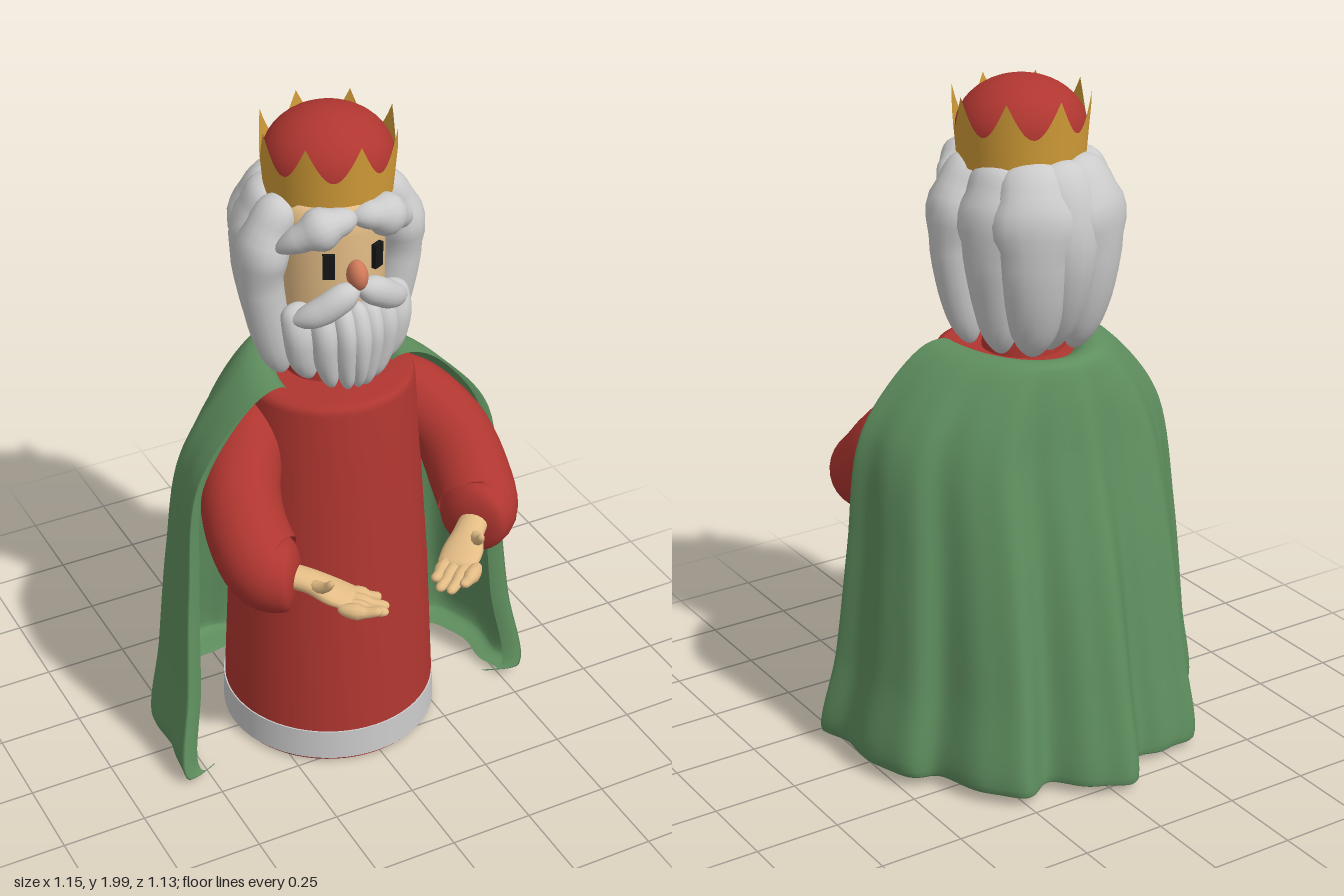
import * as THREE from 'three';

const V = (x, y, z) => new THREE.Vector3(x, y, z);
const mat = (color) => new THREE.MeshStandardMaterial({ color });
const red = mat(0xb03630), green = mat(0x5f8f5f), skin = mat(0xe3bc85), grey = mat(0xcccccc);
const gold = mat(0xd39d38), black = mat(0x151515), noseRed = mat(0xd0795a);
green.side = gold.side = THREE.DoubleSide;

// Grid of rings -> smooth geometry
function surface(rings, wrap) {
  const n = rings[0].length, pos = [], idx = [];
  rings.forEach((r) => r.forEach((p) => pos.push(p.x, p.y, p.z)));
  for (let i = 0; i < rings.length - 1; i++) {
    for (let j = 0; j < (wrap ? n : n - 1); j++) {
      const a = i * n + j, b = i * n + ((j + 1) % n);
      idx.push(a, b, b + n, a, b + n, a + n);
    }
  }
  const g = new THREE.BufferGeometry();
  g.setAttribute('position', new THREE.Float32BufferAttribute(pos, 3));
  g.setIndex(idx);
  g.computeVertexNormals();
  return g;
}

// Round-ended elliptical sweep; rows are [x, y, z, halfA, halfB], halfA lies along side
function loft(rows, side, cap = 0.15, n = 24, m = 16) {
  const path = new THREE.CatmullRomCurve3(rows.map((r) => V(r[0], r[1], r[2])));
  const size = new THREE.CatmullRomCurve3(rows.map((r) => V(r[3], r[4], 0)));
  const rings = [];
  for (let i = 0; i <= n; i++) {
    const t = (1 - Math.cos((Math.PI * i) / n)) / 2;
    const k = Math.min(1, Math.min(t, 1 - t) / cap);
    const f = Math.max(0.02, Math.sqrt(1 - (1 - k) ** 2));
    const c = path.getPoint(t), d = size.getPoint(t), tan = path.getTangent(t);
    const s = side.clone().addScaledVector(tan, -side.dot(tan)).normalize();
    const b = tan.clone().cross(s);
    const ring = [];
    for (let j = 0; j < m; j++) {
      const q = (2 * Math.PI * j) / m;
      ring.push(c.clone().addScaledVector(s, d.x * f * Math.cos(q)).addScaledVector(b, d.y * f * Math.sin(q)));
    }
    rings.push(ring);
  }
  return surface(rings, true);
}

const lathe = (pts) => new THREE.LatheGeometry(pts.map((p) => new THREE.Vector2(p[0], p[1])), 64);

export function createModel() {
  const model = new THREE.Group();
  const figure = new THREE.Group();
  figure.name = 'figure';
  figure.position.x = -0.015;
  model.add(figure);
  const add = (name, geo, material, x = 0, y = 0, z = 0) => {
    const mesh = new THREE.Mesh(geo, material);
    mesh.name = name;
    mesh.position.set(x, y, z);
    figure.add(mesh);
    return mesh;
  };

  // Robe, hem and collar
  add('robe', lathe([[0, 0.01], [0.312, 0.01], [0.312, 0.01], [0.318, 0.03], [0.318, 0.03], [0.316, 0.13],
    [0.295, 0.55], [0.262, 1.0], [0.248, 1.19], [0.24, 1.21], [0.22, 1.218], [0, 1.218]]), red, 0, 0, -0.015);
  add('hem', lathe([[0.3, 0.02], [0.322, 0.022], [0.322, 0.022], [0.32, 0.12], [0.32, 0.12], [0.3, 0.121]]), grey, 0, 0, -0.015);
  add('collar', new THREE.CylinderGeometry(0.105, 0.12, 0.18, 40), red, 0, 1.3, -0.03);

  // Head
  add('head', lathe([[0, 1.36], [0.1, 1.36], [0.14, 1.39], [0.155, 1.45], [0.157, 1.7], [0.15, 1.79], [0, 1.8]]), skin, 0, 0, -0.01);
  const nose = add('nose', new THREE.SphereGeometry(1, 24, 16), noseRed, 0, 1.59, 0.16);
  nose.scale.set(0.028, 0.043, 0.038);
  nose.rotation.x = -0.25;

  for (const m of [-1, 1]) {
    const S = m < 0 ? 'right' : 'left';
    const flip = (rows) => rows.map(([x, ...r]) => [x * m, ...r]);

    const eye = add(S + 'Eye', new THREE.BoxGeometry(0.034, 0.072, 0.014), black, m * 0.074, 1.622, 0.136);
    eye.rotation.y = m * 0.45;

    add(S + 'Eyebrow', loft(flip([[-0.01, 1.757, 0.135, 0.034, 0.038], [0.06, 1.752, 0.14, 0.042, 0.045],
      [0.13, 1.725, 0.12, 0.042, 0.045], [0.2, 1.672, 0.07, 0.03, 0.034]]), V(0, 1, 0), 0.3), grey);
    add(S + 'Moustache', loft(flip([[-0.005, 1.557, 0.16, 0.026, 0.03], [0.055, 1.53, 0.165, 0.042, 0.038],
      [0.11, 1.492, 0.145, 0.04, 0.038], [0.18, 1.455, 0.095, 0.02, 0.024]]), V(0, 1, 0), 0.25), grey);

    // Beard locks, longest in the middle
    for (const [x, w, bottom, tuck] of [[0.04, 0.034, 1.235, 0.68], [0.09, 0.04, 1.24, 0.72], [0.142, 0.05, 1.265, 0.8]]) {
      const z = 0.17 - 3.2 * x * x;
      add(S + 'BeardLock', loft(flip([[x, 1.5, z - 0.03, w, 0.035], [x * 1.02, 1.42, z, w, 0.045],
        [x * 0.96, 1.34, z, w * 0.9, 0.04], [x * tuck, bottom, z - 0.005, 0.018, 0.022]]), V(1, 0, 0)), grey);
    }

    // Hair locks: angle from the front, half width, change of reach, shift in z
    for (const [deg, w, out, dz] of [[90, 0.066, 0, 0.005], [116, 0.088, -0.022, -0.05], [153, 0.1, 0.006, -0.045]]) {
      const a = (deg * Math.PI) / 180, sx = Math.sin(a), cz = Math.cos(a);
      const rows = [[0.13, 1.79, 0.9, 0.055], [0.192 + out, 1.7, 1, 0.062], [0.215 + out, 1.57, 1, 0.062],
        [0.192 + out, 1.41, 0.85, 0.06], [0.15 - Math.abs(out) / 2, 1.24, 0.5, 0.042]];
      add(S + 'HairLock', loft(flip(rows.map(([r, y, k, d]) => [r * sx, y, r * cz + dz, w * k, d])),
        V(cz * m, 0, -sx), 0.14), grey);
    }

    // Sleeve
    add(S + 'Sleeve', loft(flip([[0.17, 1.12, -0.04, 0.08, 0.08], [0.265, 1.05, 0.02, 0.108, 0.106],
      [0.338, 0.95, 0.11, 0.115, 0.113], [0.352, 0.85, 0.2, 0.122, 0.117], [0.333, 0.795, 0.285, 0.118, 0.115],
      [0.268, 0.79, 0.335, 0.1, 0.095]]), V(0, 1, 0.3), 0.08, 36, 28), red);

    // Hand: upturned palm, four fingers and thumb
    add(S + 'Palm', loft(flip([[0.3, 0.8, 0.33, 0.042, 0.032], [0.25, 0.788, 0.375, 0.045, 0.03],
      [0.205, 0.768, 0.42, 0.06, 0.025], [0.155, 0.752, 0.465, 0.056, 0.018]]), V(0.7 * m, 0.1, 0.7), 0.1), skin);
    const tips = [[0.083, 0.745, 0.475], [0.077, 0.735, 0.51], [0.095, 0.74, 0.54], [0.127, 0.77, 0.56]];
    tips.forEach(([x, y, z], i) => {
      const rx = 0.142 + i * 0.019, rz = 0.435 + i * 0.022;
      add(S + 'Finger', loft(flip([[rx + 0.025, 0.757, rz - 0.02, 0.016, 0.017],
        [(rx + x) / 2, (0.757 + y) / 2 - 0.007, (rz + z) / 2, 0.016, 0.017], [x, y, z, 0.012, 0.014]]), V(0, 1, 0), 0.15, 12, 10), skin);
    });
    add(S + 'Thumb', loft(flip([[0.26, 0.79, 0.385, 0.02, 0.02], [0.248, 0.8, 0.425, 0.018, 0.018],
      [0.24, 0.818, 0.452, 0.014, 0.013], [0.235, 0.845, 0.472, 0.01, 0.01]]), V(1, 0, 0), 0.15, 14, 10), skin);
  }

  add('middleBeardLock', loft([[0, 1.5, 0.14, 0.03, 0.035], [0, 1.42, 0.175, 0.034, 0.04],
    [0, 1.33, 0.175, 0.028, 0.038], [0, 1.237, 0.165, 0.014, 0.02]], V(1, 0, 0)), grey);
  add('backHairLock', loft([[0, 1.79, -0.18, 0.08, 0.055], [0, 1.7, -0.238, 0.09, 0.065], [0, 1.57, -0.262, 0.085, 0.066],
    [0, 1.41, -0.23, 0.065, 0.06], [0, 1.24, -0.15, 0.035, 0.04]], V(1, 0, 0), 0.14), grey);

  // Crown with eight points, and the cap inside it
  const crown = new THREE.CylinderGeometry(1, 1, 1, 128, 6, true);
  const p = crown.attributes.position;
  for (let i = 0; i < p.count; i++) {
    const x = p.getX(i), z = p.getZ(i), k = p.getY(i) + 0.5;
    const h = k * (0.1 + 0.1 * (1 - Math.abs(Math.sin(4 * Math.atan2(x, z)))));
    const r = 0.177 + 0.085 * h;
    p.setXYZ(i, x * r, h, z * r);
  }
  crown.computeVertexNormals();
  add('crown', crown, gold, 0.015, 1.765, -0.04);
  const cap = add('crownCap', new THREE.SphereGeometry(1, 48, 24), red, 0.015, 1.855, -0.04);
  cap.scale.set(0.182, 0.145, 0.182);

  // Cape: half-ellipse sections [y, half width, back z, front z], folds deepening downwards, hem turned in
  const levels = [[1.2, 0.15, -0.16, 0.05], [1.238, 0.19, -0.23, 0.075], [1.23, 0.255, -0.28, 0.085],
    [1.14, 0.365, -0.31, 0.09], [0.98, 0.47, -0.34, 0.095], [0.65, 0.51, -0.415, 0.105],
    [0.3, 0.54, -0.475, 0.135], [0.035, 0.57, -0.515, 0.175], [0.015, 0.51, -0.4, 0.15]];
  const yx = new THREE.CatmullRomCurve3(levels.map((l) => V(l[0], l[1], 0)));
  const zz = new THREE.CatmullRomCurve3(levels.map((l) => V(l[2], l[3], 0)));
  const rings = [];
  for (let i = 0; i <= 64; i++) {
    const t = i / 64, a = yx.getPoint(t), b = zz.getPoint(t);
    const depth = THREE.MathUtils.smoothstep(t, 0.17, 0.85);
    const ring = [];
    for (let j = -8; j <= 168; j++) {
      const u = THREE.MathUtils.clamp(j / 80 - 1, -1, 1), q = (u * Math.PI) / 2;
      const turn = Math.abs(j / 80 - 1 - u) * 10 * depth; // front edges turned inwards
      const fold = depth * (0.065 * Math.cos(11 * q) + 0.02 * Math.cos(23 * q + 1 + t));
      const x = a.y * Math.sin(q) * (1 + fold * 0.4) - Math.sign(u) * 0.055 * turn;
      const z = b.y + (b.x - b.y) * Math.cos(q) * (1 + fold) - 0.02 * turn * turn;
      ring.push(V(x, a.x + depth * 0.008 * (1 + Math.sin(q)), z));
    }
    rings.push(ring);
  }
  add('cape', surface(rings, false), green);

  return model;
}
